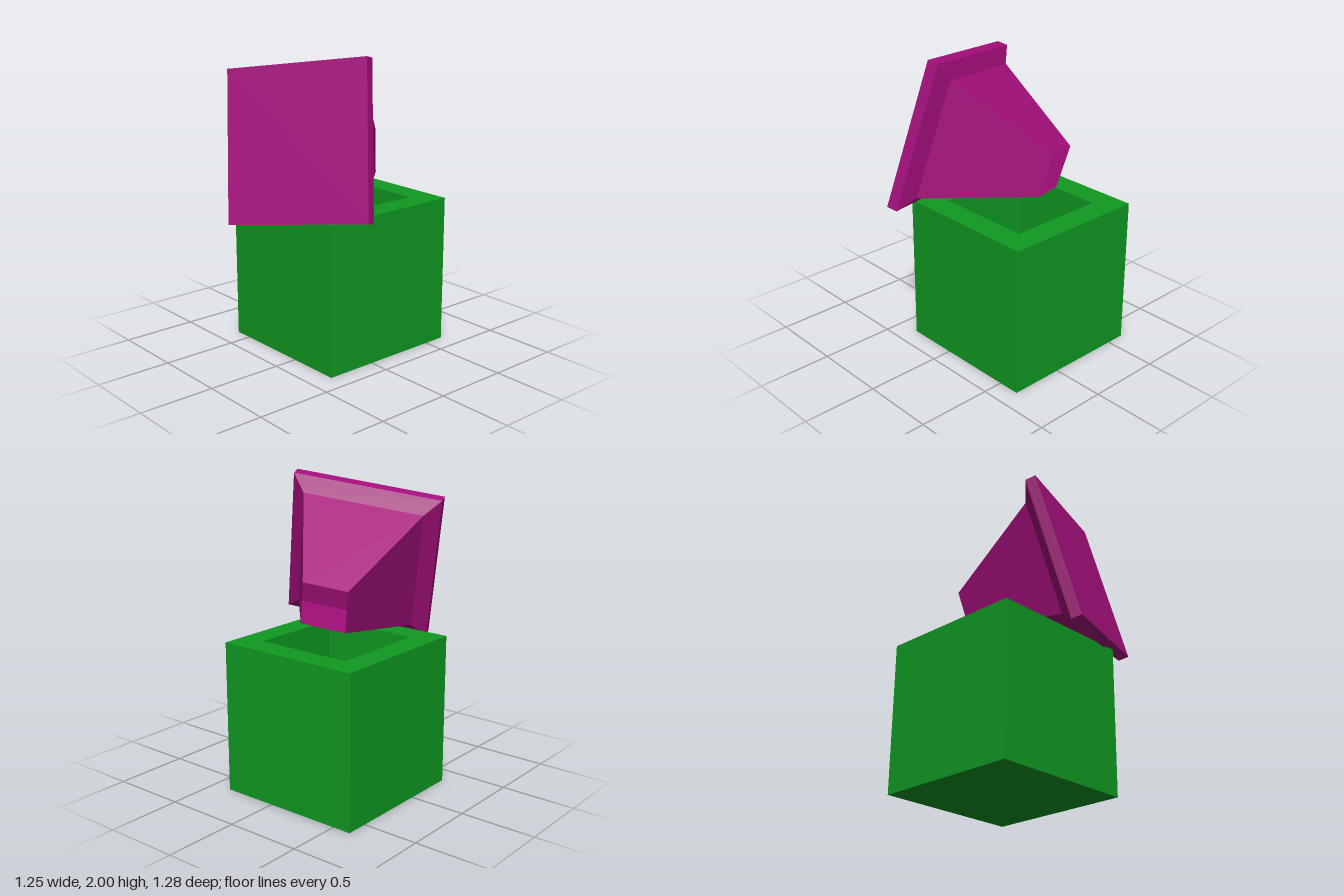
import * as THREE from 'three';

// Square corners, counter-clockwise seen from +y
const CORNERS = [[1, 1], [1, -1], [-1, -1], [-1, 1]];

// Skin over square rings given as [half width, height], with optional end caps
function squareLoft(rings, capStart, capEnd) {
  const positions = [];
  const point = ([half, y], k) => {
    const [x, z] = CORNERS[k % 4];
    return [x * half, y, z * half];
  };
  const quad = (a, b, c, d) => positions.push(...a, ...b, ...c, ...a, ...c, ...d);

  for (let i = 0; i < rings.length - 1; i++) {
    for (let k = 0; k < 4; k++) {
      quad(point(rings[i], k), point(rings[i], k + 1), point(rings[i + 1], k + 1), point(rings[i + 1], k));
    }
  }
  const first = rings[0], last = rings[rings.length - 1];
  if (capStart) quad(...[3, 2, 1, 0].map((k) => point(first, k)));
  if (capEnd) quad(...[0, 1, 2, 3].map((k) => point(last, k)));

  const geometry = new THREE.BufferGeometry();
  geometry.setAttribute('position', new THREE.Float32BufferAttribute(positions, 3));
  geometry.computeVertexNormals();
  return geometry;
}

function part(name, geometry, color) {
  const material = new THREE.MeshStandardMaterial({ color, flatShading: true, side: THREE.DoubleSide });
  const mesh = new THREE.Mesh(geometry, material);
  mesh.name = name;
  return mesh;
}

export function createModel() {
  const model = new THREE.Group();
  model.name = 'screenOnBox';

  // Hollow box: outer wall, rim, inner wall and floor
  const box = part('openBox', squareLoft([[0.495, 0], [0.495, 0.995], [0.33, 0.995], [0.33, 0.165]], true, true), 0x109a22);
  box.position.set(-0.13, 0, -0.15);
  model.add(box);

  // Tilted screen: front panel, edge, bevel and a tapering housing open at the back
  const screen = part('screenHousing', squareLoft([[0.495, 0], [0.495, 0.07], [0.4, 0.136], [0.144, 0.817]], true, false), 0xa50f7c);
  const across = new THREE.Vector3(0.91, 0.14, -0.365).normalize();
  const facing = across.clone().cross(new THREE.Vector3(-0.215, 0.95, -0.175)).normalize();
  const upward = facing.clone().cross(across);
  screen.quaternion.setFromRotationMatrix(new THREE.Matrix4().makeBasis(across, facing.clone().negate(), upward));
  screen.position.set(0.0575, 1.455, 0.37);
  model.add(screen);

  return model;
}
